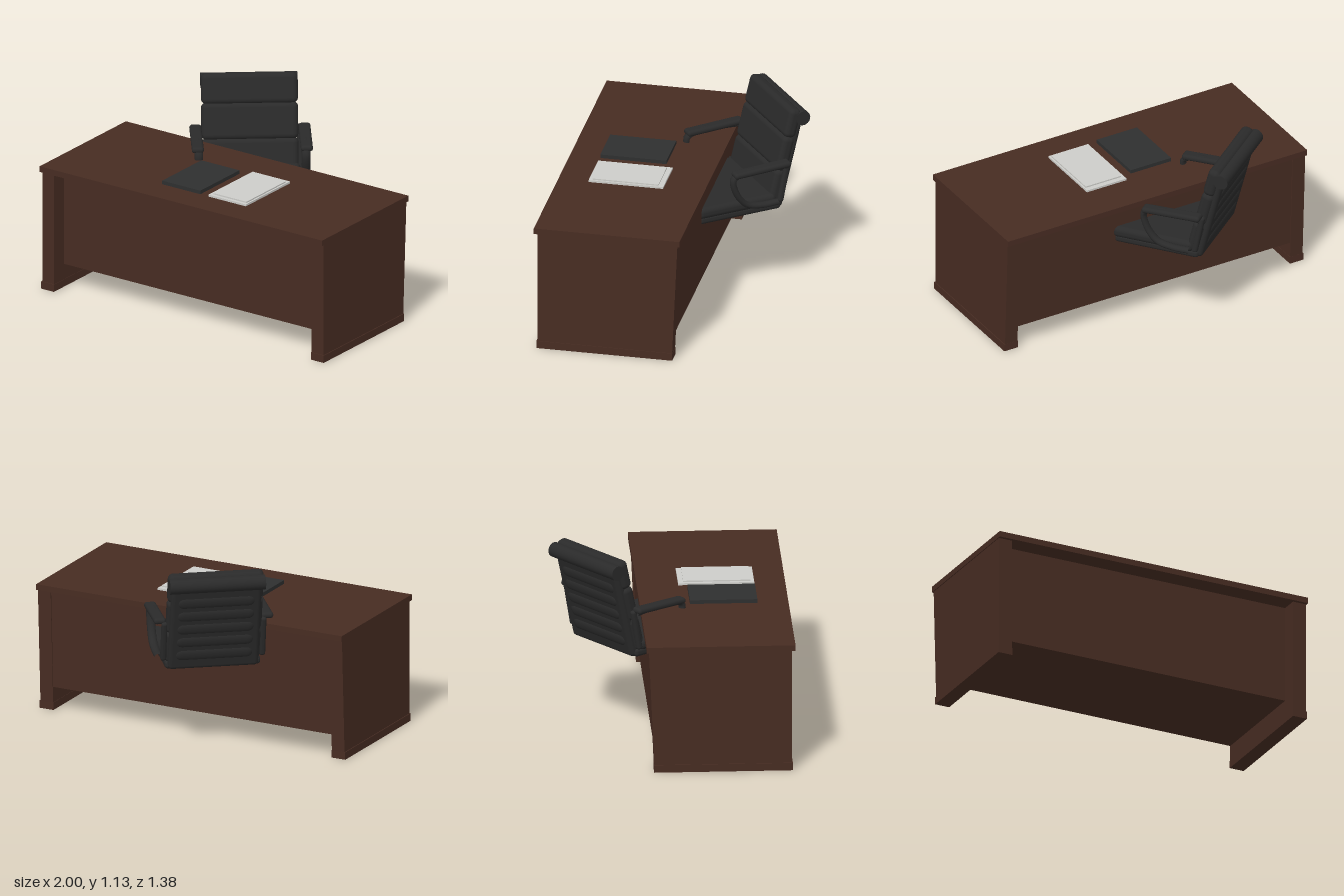
import * as THREE from 'three';
import { RoundedBoxGeometry } from 'three/addons/geometries/RoundedBoxGeometry.js';

export function createModel() {
  const mat = (name, color) => {
    const m = new THREE.MeshStandardMaterial({ color });
    m.name = name;
    return m;
  };
  const wood = mat('dark wood', 0x472c22);
  const leather = mat('black leather', 0x2a2a2a);
  const cover = mat('charcoal cover', 0x2e2f2f);
  const paper = mat('paper', 0xcdcdc9);

  const add = (parent, name, geo, material, x = 0, y = 0, z = 0) => {
    const mesh = new THREE.Mesh(geo, material);
    mesh.name = name;
    mesh.position.set(x, y, z);
    parent.add(mesh);
    return mesh;
  };
  const box = (w, h, d) => new THREE.BoxGeometry(w, h, d);
  const pad = (w, h, d, r) => new RoundedBoxGeometry(w, h, d, 4, r);
  // Side profile given as [z, y], extruded across x and centred
  const slab = (points, width) => {
    const shape = new THREE.Shape(points.map(([z, y]) => new THREE.Vector2(-z, y)));
    const geo = new THREE.ExtrudeGeometry(shape, { depth: width, bevelEnabled: false });
    return geo.translate(0, 0, -width / 2).rotateY(Math.PI / 2);
  };

  const model = new THREE.Group();

  // Desk: top, closed body and two side panels with a raked rear edge
  const desk = new THREE.Group();
  desk.name = 'desk';
  model.add(desk);
  add(desk, 'deskTop', box(2, 0.035, 0.86), wood, 0, 0.7475, 0.24);
  add(desk, 'deskBody', slab([[0.55, 0.14], [0.55, 0.73], [-0.17, 0.73], [-0.145, 0.14]], 1.83), wood);
  for (const s of [-1, 1]) {
    add(desk, 'sidePanel', slab([[0.65, 0.02], [0.65, 0.73], [-0.177, 0.73], [-0.145, 0.02]], 0.083), wood, s * 0.9535);
    add(desk, 'foot', box(0.09, 0.045, 0.802), wood, s * 0.955, 0.0225, 0.254);
  }

  // Items on the desk
  add(model, 'folder', box(0.27, 0.022, 0.39), cover, -0.125, 0.777, 0.295);
  add(model, 'paperStack', box(0.265, 0.012, 0.44), paper, 0.2, 0.771, 0.27);
  add(model, 'topSheets', box(0.235, 0.008, 0.39), paper, 0.205, 0.781, 0.275);

  // Chair, turned towards the desk's left
  const chair = new THREE.Group();
  chair.name = 'chair';
  chair.position.set(-0.193, 0, -0.3);
  chair.rotation.y = THREE.MathUtils.degToRad(38);
  model.add(chair);
  add(chair, 'seatBase', pad(0.56, 0.05, 0.52, 0.02), leather, 0, 0.548, 0.14);
  add(chair, 'seatCushion', pad(0.58, 0.07, 0.5, 0.03), leather, 0, 0.592, 0.16);

  // Leaning backrest: shell, three front cushions, rear ribs and top roll
  const back = new THREE.Group();
  back.name = 'backrest';
  back.position.set(0, 0.53, -0.09);
  back.rotation.x = -0.25;
  chair.add(back);
  add(back, 'backShell', pad(0.53, 0.6, 0.06, 0.025), leather, 0, 0.3, -0.015);
  for (const [low, high] of [[0.03, 0.235], [0.228, 0.443], [0.436, 0.615]]) {
    add(back, 'backCushion', pad(0.56, high - low, 0.075, 0.03), leather, 0, (low + high) / 2, 0.02);
  }
  for (let i = 0; i < 5; i++) {
    const rib = add(back, 'rearRib', new THREE.CapsuleGeometry(0.035, 0.38, 4, 10), leather, 0, 0.1 + i * 0.088, -0.041);
    rib.rotation.z = Math.PI / 2;
    rib.scale.z = 0.35;
  }
  const roll = add(back, 'headRoll', new THREE.CylinderGeometry(0.044, 0.044, 0.56, 20), leather, 0, 0.567, -0.032);
  roll.rotation.z = Math.PI / 2;

  // Looped armrests with padded tops
  const armPoints = [[0.81, -0.15], [0.82, 0], [0.818, 0.13], [0.79, 0.2], [0.7, 0.185], [0.615, 0.12], [0.59, 0.02], [0.59, -0.08]];
  for (const s of [-1, 1]) {
    const path = new THREE.CatmullRomCurve3(armPoints.map(([y, z]) => new THREE.Vector3(0, y, z)));
    const loop = add(chair, 'armLoop', new THREE.TubeGeometry(path, 40, 0.018, 10), leather, s * 0.31);
    loop.scale.x = 1.4;
    const rest = add(chair, 'armPad', pad(0.07, 0.036, 0.36, 0.017), leather, s * 0.315, 0.822, 0.025);
    rest.rotation.x = 0.03;
    add(chair, 'armRearPost', pad(0.035, 0.25, 0.035, 0.015), leather, s * 0.29, 0.7, -0.13).rotation.x = -0.2;
  }
  return model;
}
